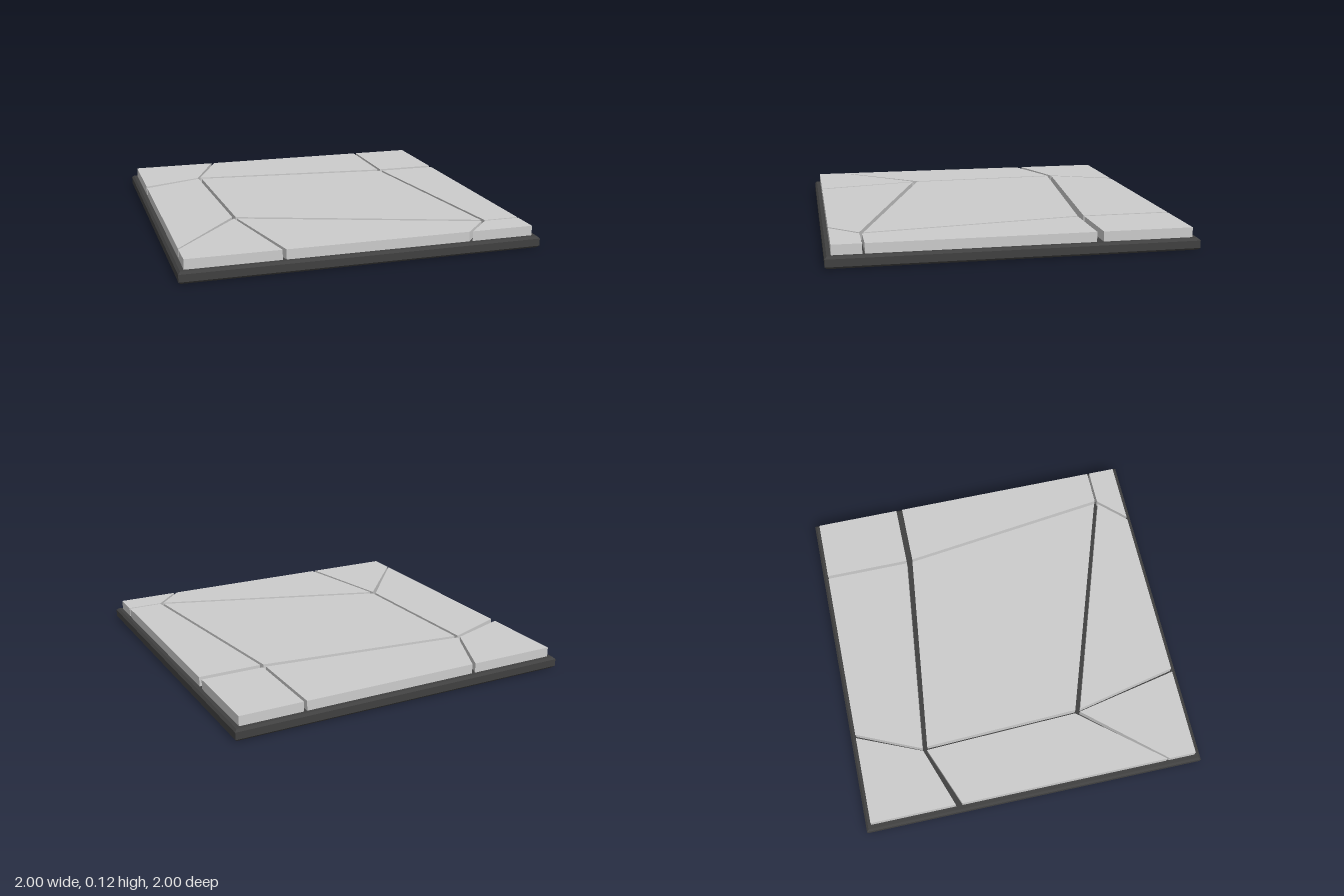
import * as THREE from 'three';

const BASE_TOP = 0.065, TILE_TOP = 0.12, E = 0.966;

// Extrudes a plan outline of [x, z] corners upwards from y = 0
function slab(outline, options) {
  const shape = new THREE.Shape(outline.map(([x, z]) => new THREE.Vector2(x, -z)));
  return new THREE.ExtrudeGeometry(shape, options).rotateX(-Math.PI / 2);
}

export function createModel() {
  const model = new THREE.Group();
  model.name = 'pavedFloorTile';

  const stone = new THREE.MeshStandardMaterial({ color: 0xcccccc });
  const dark = new THREE.MeshStandardMaterial({ color: 0x404040 });

  // Square base plate with chamfered top and bottom edges
  const c = 0.012, h = 1 - c;
  const base = new THREE.Mesh(
    slab([[-h, -h], [h, -h], [h, h], [-h, h]], {
      depth: BASE_TOP - 2 * c, bevelEnabled: true, bevelThickness: c, bevelSize: c, bevelSegments: 1,
    }).translate(0, c, 0),
    dark,
  );
  base.name = 'base';
  model.add(base);

  // Irregular paving stones, separated by narrow joints
  const stones = {
    backLeftStone: [[-E, -E], [-0.455, -E], [-0.616, -0.592], [-E, -0.468]],
    backStone: [[-0.435, -E], [0.589, -E], [0.589, -0.467], [-0.6, -0.594]],
    backRightStone: [[0.607, -E], [E, -E], [E, -0.467], [0.607, -0.467]],
    leftStone: [[-E, -0.43], [-0.615, -0.57], [-0.584, 0.332], [-E, 0.795]],
    centreStone: [[-0.595, -0.565], [0.59, -0.432], [0.743, 0.785], [-0.565, 0.338]],
    rightStone: [[0.608, -0.43], [E, -0.43], [E, 0.795], [0.763, 0.795]],
    frontLeftStone: [[-E, 0.808], [-0.58, 0.362], [-0.456, E], [-E, E]],
    frontStone: [[-0.435, E], [-0.563, 0.368], [0.738, 0.808], [0.59, E]],
    frontRightStone: [[0.61, E], [0.758, 0.808], [E, 0.808], [E, E]],
  };
  for (const [name, outline] of Object.entries(stones)) {
    const mesh = new THREE.Mesh(
      slab(outline, { depth: TILE_TOP - BASE_TOP, bevelEnabled: false }),
      stone,
    );
    mesh.name = name;
    mesh.position.y = BASE_TOP;
    model.add(mesh);
  }
  return model;
}
